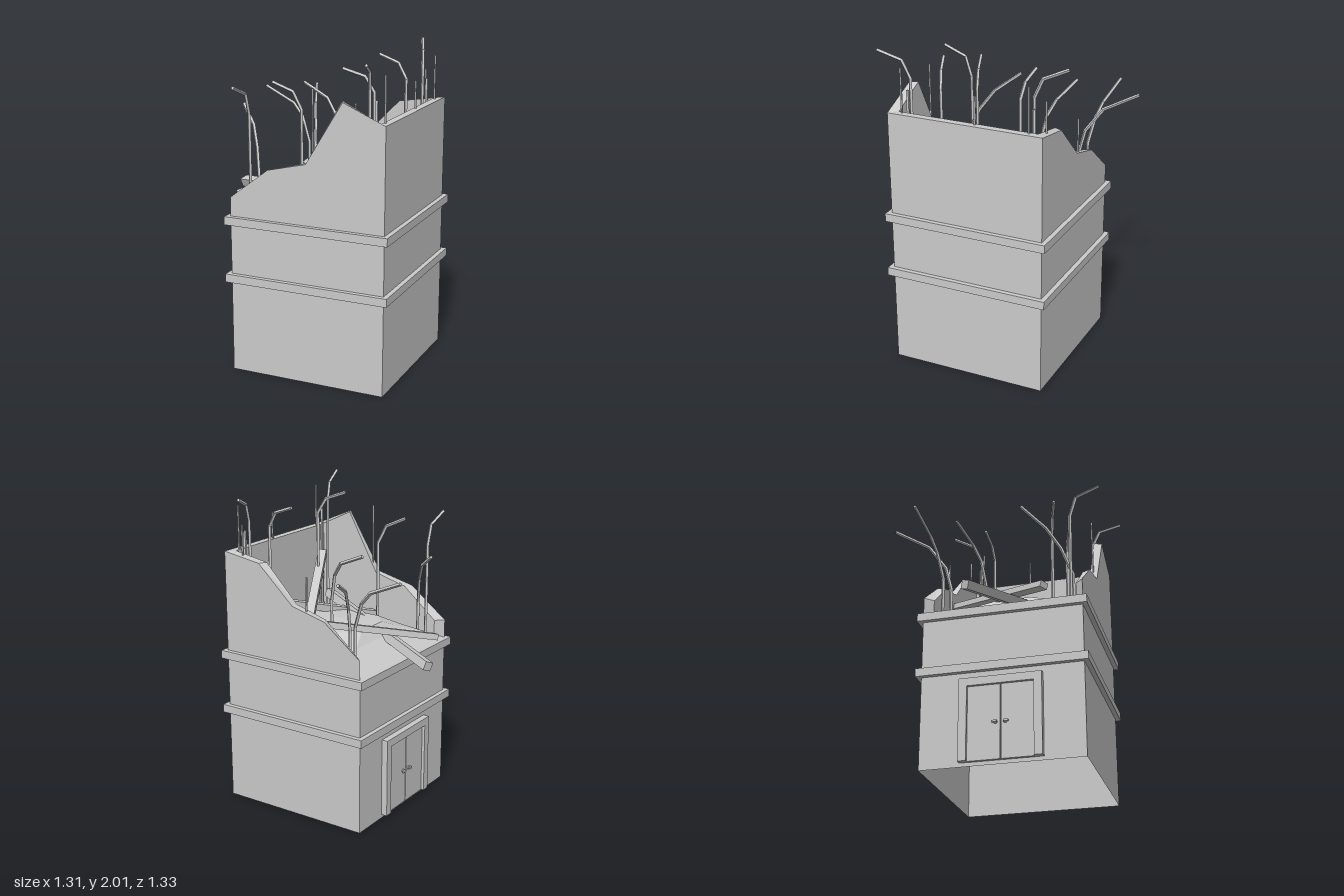
import * as THREE from 'three';

const mat = new THREE.MeshStandardMaterial({ color: 0xcccccc, flatShading: true, side: THREE.DoubleSide });
const V = (p) => new THREE.Vector3(...p);

function add(parent, name, geometry) {
  const mesh = new THREE.Mesh(geometry, mat);
  mesh.name = name;
  parent.add(mesh);
  return mesh;
}

function box(parent, name, size, pos) {
  const mesh = add(parent, name, new THREE.BoxGeometry(...size));
  mesh.position.set(...pos);
  return mesh;
}

function group(parent, name) {
  const g = new THREE.Group();
  g.name = name;
  parent.add(g);
  return g;
}

// Geometry from a list of four-cornered faces
function quads(list) {
  const pos = [];
  for (const [a, b, c, d] of list) pos.push(...a, ...b, ...c, ...a, ...c, ...d);
  const g = new THREE.BufferGeometry();
  g.setAttribute('position', new THREE.Float32BufferAttribute(pos, 3));
  g.computeVertexNormals();
  return g;
}

// Footprint of the building
const X0 = -0.38, X1 = 0.625, Z0 = -0.45, Z1 = 0.55, WALL = 0.05, DECK = 1.0;
const CX = (X0 + X1) / 2, CZ = (Z0 + Z1) / 2;

// Broken walls: a section carried along the jagged top edge, mitred at the corners
function wallGeometry() {
  const front = [[-0.38, 1.12], [-0.125, 1.315], [0.125, 1.375], [0.36, 1.76], [0.625, 1.645]];
  const back = [[0.625, 1.645], [0.36, 1.605], [0.11, 1.375], [-0.125, 1.315], [-0.38, 1.12]];
  const inset = (v, c, half) => c + (v - c) * (half - WALL) / half;
  const section = (z) => ([x, y]) => {
    const xi = inset(x, CX, (X1 - X0) / 2), zi = inset(z, CZ, (Z1 - Z0) / 2);
    return [[x, 0, z], [x, y, z], [xi, y, zi], [xi, DECK - 0.02, zi]];
  };
  const s = [...front.map(section(Z1)), ...back.map(section(Z0))];
  const faces = [];
  for (let i = 0; i < s.length - 1; i++)
    for (let k = 0; k < 3; k++)
      faces.push([s[i][k], s[i + 1][k], s[i + 1][k + 1], s[i][k + 1]]);
  // Mitred ends where the side wall has fallen away
  const a = s[0], b = s[s.length - 1];
  faces.push([[X0, DECK - 0.02, Z1], a[1], a[2], a[3]]);
  faces.push([[X0, DECK - 0.02, Z0], b[3], b[2], b[1]]);
  // Low side wall holding the door
  faces.push([[X0, 0, Z0], [X0, 0, Z1], [X0, DECK, Z1], [X0, DECK, Z0]]);
  return quads(faces);
}

// Rubble heap: chamfered rectangular rings rising to a flat crown
function rubbleGeometry() {
  const ring = (hx, hz, c, y) => [
    [-hx + c, hz], [hx - c, hz], [hx, hz - c], [hx, -hz + c],
    [hx - c, -hz], [-hx + c, -hz], [-hx, -hz + c], [-hx, hz - c],
  ].map(([x, z]) => [CX + x, y, CZ + z]);
  const rings = [
    ring((X1 - X0) / 2, (Z1 - Z0) / 2, 0, DECK),
    ring(0.325, 0.32, 0.05, 1.1),
    ring(0.26, 0.215, 0.1, 1.165),
    ring(0, 0, 0, 1.18),
  ];
  const faces = [];
  for (let r = 0; r < rings.length - 1; r++)
    for (let i = 0; i < 8; i++) {
      const j = (i + 1) % 8;
      faces.push([rings[r][i], rings[r][j], rings[r + 1][j], rings[r + 1][i]]);
    }
  return quads(faces);
}

// Ledge running round the building, showing both outside and inside
function bandGeometry(height) {
  const rect = (T, d) => {
    const p = new T();
    p.moveTo(X0 - d, -Z1 - d).lineTo(X1 + d, -Z1 - d).lineTo(X1 + d, -Z0 + d).lineTo(X0 - d, -Z0 + d);
    p.closePath();
    return p;
  };
  const shape = rect(THREE.Shape, 0.03);
  shape.holes.push(rect(THREE.Path, -WALL));
  return new THREE.ExtrudeGeometry(shape, { depth: height, bevelEnabled: false }).rotateX(-Math.PI / 2);
}

// Square bar through a row of points
function bentRod(parent, name, points, radius) {
  const g = group(parent, name);
  for (let i = 0; i < points.length - 1; i++) {
    const a = V(points[i]), b = V(points[i + 1]);
    const dir = b.clone().sub(a);
    const m = add(g, name + 'Piece', new THREE.CylinderGeometry(radius, radius, dir.length() + radius * 0.5, 4));
    m.position.copy(a).lerp(b, 0.5);
    m.quaternion.setFromUnitVectors(new THREE.Vector3(0, 1, 0), dir.normalize());
  }
}

// Fallen beam between two end points
function beam(parent, a, b, w, h, roll) {
  const m = add(parent, 'fallenBeam', new THREE.BoxGeometry(w, h, V(a).distanceTo(V(b))));
  m.position.copy(V(a)).lerp(V(b), 0.5);
  m.lookAt(V(b));
  m.rotateZ(roll);
}

export function createModel() {
  const model = new THREE.Group();
  model.name = 'ruinedTower';

  add(model, 'brokenWalls', wallGeometry());
  add(model, 'rubbleHeap', rubbleGeometry());
  for (const y of [0.583, 0.95]) add(model, 'ledgeBand', bandGeometry(0.052)).position.y = y;

  // Double door with its frame
  const door = group(model, 'doubleDoor');
  for (const s of [-1, 1]) {
    box(door, 'doorPost', [0.08, 0.51, 0.05], [-0.38, 0.28, CZ + s * 0.227]);
    box(door, 'doorLeaf', [0.03, 0.465, 0.198], [-0.386, 0.257, CZ + s * 0.102]);
    const rose = add(door, 'handleRose', new THREE.CylinderGeometry(0.012, 0.012, 0.01, 8));
    rose.rotation.z = Math.PI / 2;
    rose.position.set(-0.405, 0.25, CZ + s * 0.03);
    box(door, 'handle', [0.012, 0.012, 0.03], [-0.415, 0.25, CZ + s * 0.035]);
  }
  box(door, 'doorLintel', [0.08, 0.05, 0.41], [-0.38, 0.51, CZ]);

  // Fallen beams
  const beams = group(model, 'fallenBeams');
  beam(beams, [-0.64, 1.04, -0.105], [0.46, 1.2, 0.435], 0.055, 0.055, 0.35);
  beam(beams, [-0.445, 1.075, 0.33], [0.085, 1.265, -0.385], 0.055, 0.04, 0.15);
  beam(beams, [0.14, 1.14, -0.27], [0.525, 1.47, 0.45], 0.055, 0.045, 0);
  beam(beams, [0.12, 1.1, 0.475], [0.54, 1.32, -0.31], 0.06, 0.045, 0);

  // Bent reinforcement rods: upright foot, then two bends to the tip
  const rods = group(model, 'reinforcementRods');
  const bent = [
    [[-0.225, 1, -0.325], [-0.225, 1.24, -0.325], [-0.237, 1.39, -0.36], [-0.285, 1.53, -0.46], [-0.37, 1.625, -0.66]],
    [[-0.285, 1, -0.36], [-0.285, 1.29, -0.36], [-0.345, 1.45, -0.385], [-0.42, 1.53, -0.405], [-0.64, 1.625, -0.437]],
    [[0.02, 1, -0.165], [0.02, 1.36, -0.165], [-0.02, 1.53, -0.19], [-0.09, 1.62, -0.225], [-0.28, 1.7, -0.28]],
    [[-0.225, 1, 0.465], [-0.225, 1.24, 0.465], [-0.27, 1.41, 0.4], [-0.335, 1.53, 0.32], [-0.47, 1.625, 0.195]],
    [[-0.287, 1, 0.46], [-0.287, 1.62, 0.465], [-0.287, 1.75, 0.505], [-0.287, 1.81, 0.655]],
    [[-0.025, 1, 0.29], [-0.025, 1.64, 0.29], [-0.075, 1.75, 0.305], [-0.19, 1.805, 0.343]],
    [[0.49, 1, 0.46], [0.49, 1.83, 0.465], [0.507, 1.94, 0.51], [0.545, 1.995, 0.65]],
    [[0.445, 1, 0.288], [0.445, 1.78, 0.288], [0.395, 1.875, 0.31], [0.275, 1.92, 0.357]],
    [[0.51, 1, -0.34], [0.51, 1.83, -0.345], [0.493, 1.94, -0.39], [0.44, 1.995, -0.525]],
    [[0.445, 1, -0.228], [0.445, 1.78, -0.228], [0.39, 1.875, -0.235], [0.262, 1.92, -0.243]],
  ];
  for (const points of bent) bentRod(rods, 'bentRod', points, 0.011);

  // Straight rods: x, z, top, foot, thickness
  const straight = [
    [0.59, -0.35, 1.92, 1.6, 0.009], [0.59, -0.01, 1.815, 1.6, 0.009], [0.59, 0.47, 1.92, 1.6, 0.009],
    [0.505, -0.42, 1.82, 1.55, 0.009], [0.16, 0.52, 1.82, 1.35, 0.009], [0.025, -0.42, 1.56, 1.3, 0.009],
    [0.533, -0.36, 1.77, 1.0, 0.014], [0.533, 0.46, 1.77, 1.0, 0.014],
  ];
  for (const [x, z, top, foot, t] of straight)
    box(rods, 'straightRod', [t, top - foot, t], [x, (top + foot) / 2, z]);

  return model;
}
